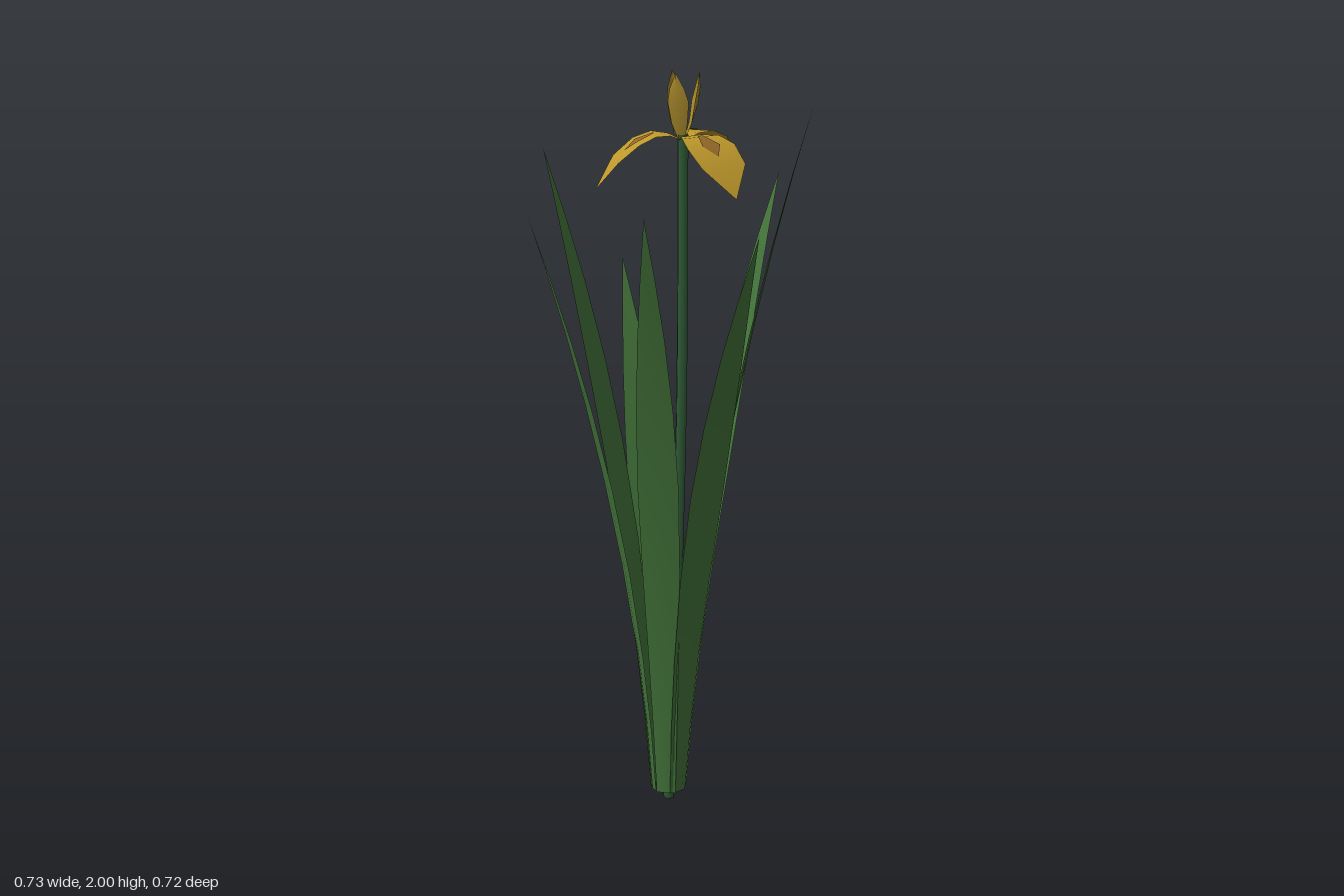
import * as THREE from 'three';

const paint = (color) => new THREE.MeshStandardMaterial({ color, side: THREE.DoubleSide });

// Ribbon growing along +x from rows of [reach, height, halfWidth, edgeShift].
// edgeShift moves both edges inward along x, which cups the ribbon.
function ribbon(rows) {
  const pos = [], index = [];
  for (const [r, y, w, cup = 0] of rows) {
    pos.push(r - cup, y, w, r, y, 0, r - cup, y, -w);
  }
  for (let i = 0; i < rows.length - 1; i++) {
    for (let j = 0; j < 2; j++) {
      const a = i * 3 + j, b = a + 3;
      index.push(a, b, a + 1, a + 1, b, b + 1);
    }
  }
  const geo = new THREE.BufferGeometry();
  geo.setAttribute('position', new THREE.Float32BufferAttribute(pos, 3));
  geo.setIndex(index);
  geo.computeVertexNormals();
  return geo;
}

function add(parent, name, geo, material, angle = 0) {
  const mesh = new THREE.Mesh(geo, material);
  mesh.name = name;
  mesh.rotation.y = angle;
  parent.add(mesh);
  return mesh;
}

export function createModel() {
  const model = new THREE.Group();
  model.name = 'irisPlant';
  const leafGreen = paint(0x44753b);
  const stemGreen = paint(0x2f5a36);
  const yellow = paint(0xc09a2c);
  const darkYellow = paint(0xa98a2c);
  const brown = paint(0x94682a);

  // Sword leaves, fanned out from the base to tips at [x, y, z]
  const leaves = new THREE.Group();
  leaves.name = 'leaves';
  leaves.position.set(-0.01, 0, 0.02);
  model.add(leaves);
  const tips = [
    [-0.02, 1.71, -0.36], [0.263, 1.94, -0.242], [0.364, 1.63, 0.02], [0.247, 1.69, 0.287],
    [-0.155, 1.64, 0.356], [-0.341, 1.78, 0.182], [-0.366, 1.45, -0.092],
  ];
  const widths = [[0, 0.026], [0.12, 0.033], [0.25, 0.041], [0.4, 0.05], [0.55, 0.054],
    [0.68, 0.048], [0.8, 0.035], [0.9, 0.019], [1, 0]];
  for (const [x, y, z] of tips) {
    const dx = x + 0.01, dz = z - 0.02, reach = Math.hypot(dx, dz), r0 = 0.045;
    const rows = widths.map(([u, w]) => [
      r0 + (reach - r0) * (0.3 * u + 0.7 * u * u), 0.03 + (y - 0.03) * u, w, 0.004 * (1 - u),
    ]);
    add(leaves, 'leaf', ribbon(rows), leafGreen, -Math.atan2(dz, dx));
  }

  // Slender stem, slightly bent
  const path = new THREE.CatmullRomCurve3([
    new THREE.Vector3(-0.01, 0, 0.02), new THREE.Vector3(0.012, 0.6, 0.008),
    new THREE.Vector3(0.021, 1.2, -0.002), new THREE.Vector3(0.017, 1.84, -0.008),
  ]);
  add(model, 'stem', new THREE.TubeGeometry(path, 10, 0.015, 6), stemGreen);

  // Flower: three drooping petals alternating with three upright ones
  const flower = new THREE.Group();
  flower.name = 'flower';
  flower.position.set(0.015, 0, -0.008);
  model.add(flower);
  const fall = ribbon([
    [0, 1.825, 0.012], [0.035, 1.84, 0.03], [0.075, 1.842, 0.058], [0.12, 1.823, 0.075],
    [0.172, 1.779, 0.069], [0.224, 1.702, 0],
  ]);
  const blotch = ribbon([
    [0.075, 1.844, 0.008], [0.12, 1.825, 0.028], [0.15, 1.8, 0],
  ]);
  const standard = ribbon([
    [0.004, 1.82, 0.008], [0.025, 1.87, 0.022, 0.005], [0.042, 1.925, 0.029, 0.014],
    [0.046, 1.96, 0.02, 0.01], [0.044, 2, 0],
  ]);
  for (let i = 0; i < 3; i++) {
    const angle = (i * Math.PI * 2) / 3;
    add(flower, 'droopingPetal', fall, yellow, angle);
    add(flower, 'petalBlotch', blotch, brown, angle).position.y = 0.001;
    add(flower, 'uprightPetal', standard, darkYellow, angle + Math.PI);
  }
  return model;
}
